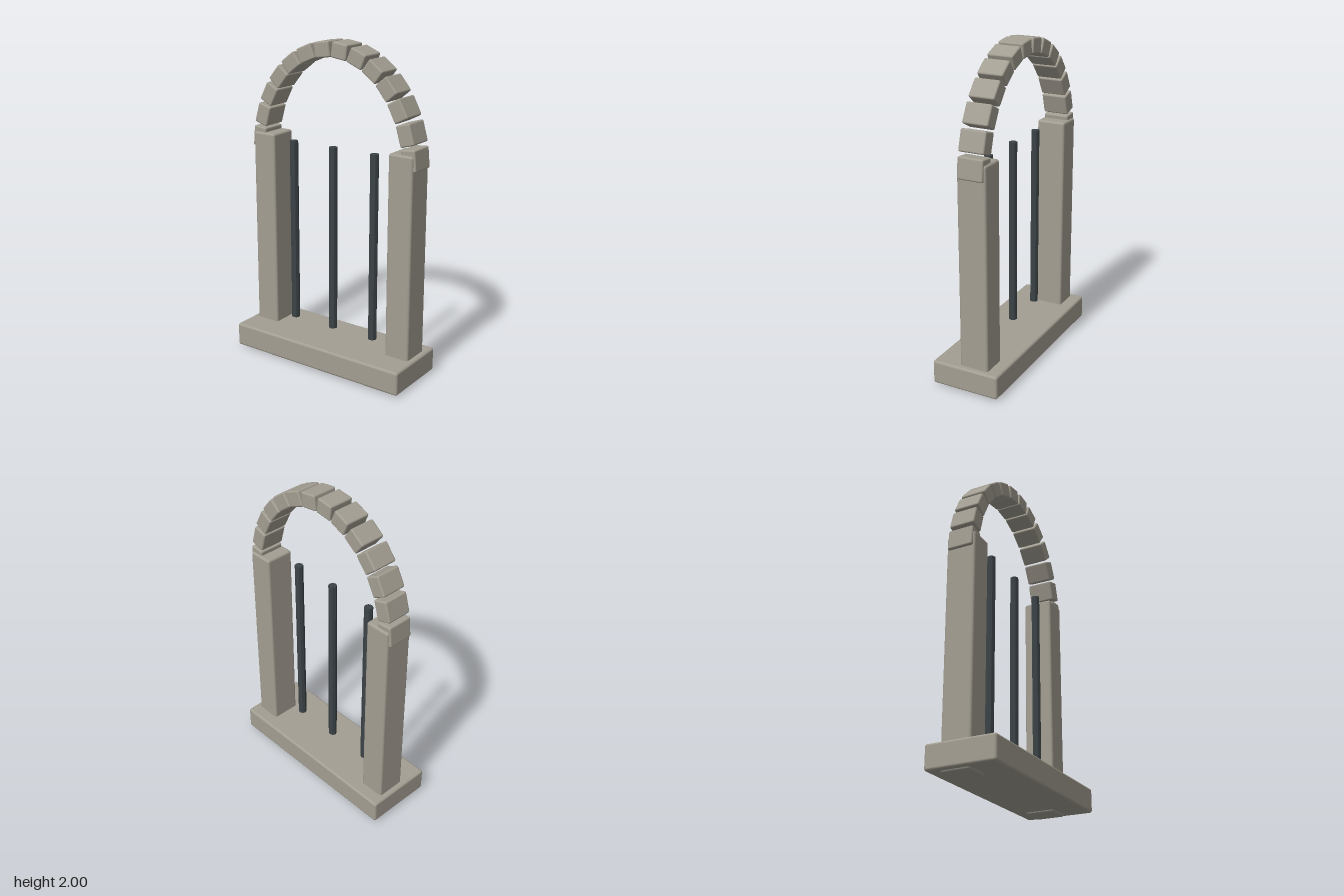
import * as THREE from 'three';
import { RoundedBoxGeometry } from 'three/addons/geometries/RoundedBoxGeometry.js';

const stone = new THREE.MeshStandardMaterial({ color: 0xa39e92 });
const iron = new THREE.MeshStandardMaterial({ color: 0x3c4447, flatShading: true });

const WALL_Z = -0.046; // pillars and arch sit slightly behind the centre

function block(name, w, h, d, bevel, x, y, z) {
  const mesh = new THREE.Mesh(new RoundedBoxGeometry(w, h, d, 2, bevel), stone);
  mesh.name = name;
  mesh.position.set(x, y, z);
  return mesh;
}

export function createModel() {
  const model = new THREE.Group();
  model.name = 'barredArchway';

  // Base slab
  model.add(block('base', 1.21, 0.148, 0.43, 0.015, 0, 0.086, 0));

  // Pillars, running down through the slab
  for (const side of [-1, 1]) {
    const name = side > 0 ? 'leftPillar' : 'rightPillar';
    model.add(block(name, 0.16, 1.405, 0.183, 0.015, side * 0.492, 0.7025, WALL_Z));
  }

  // Arch stones along a half ellipse, each turned to its tangent
  const arch = new THREE.Group();
  arch.name = 'arch';
  const count = 14, rx = 0.54, ry = 0.65, springY = 1.3;
  for (let i = 0; i < count; i++) {
    const t = ((i + 0.5) / count) * Math.PI;
    const tx = -rx * Math.sin(t), ty = ry * Math.cos(t);
    const length = 0.88 * (Math.PI / count) * Math.hypot(tx, ty);
    const piece = block('archStone', length, 0.093, 0.16, 0.01,
      rx * Math.cos(t), springY + ry * Math.sin(t), WALL_Z);
    piece.rotation.z = Math.atan2(ty, tx);
    arch.add(piece);
  }
  model.add(arch);

  // Upright iron bars
  const barGeometry = new THREE.CylinderGeometry(0.026, 0.026, 1.16, 8);
  for (const x of [-0.293, 0, 0.293]) {
    const bar = new THREE.Mesh(barGeometry, iron);
    bar.name = 'bar';
    bar.position.set(x, 0.795, 0);
    model.add(bar);
  }
  return model;
}
